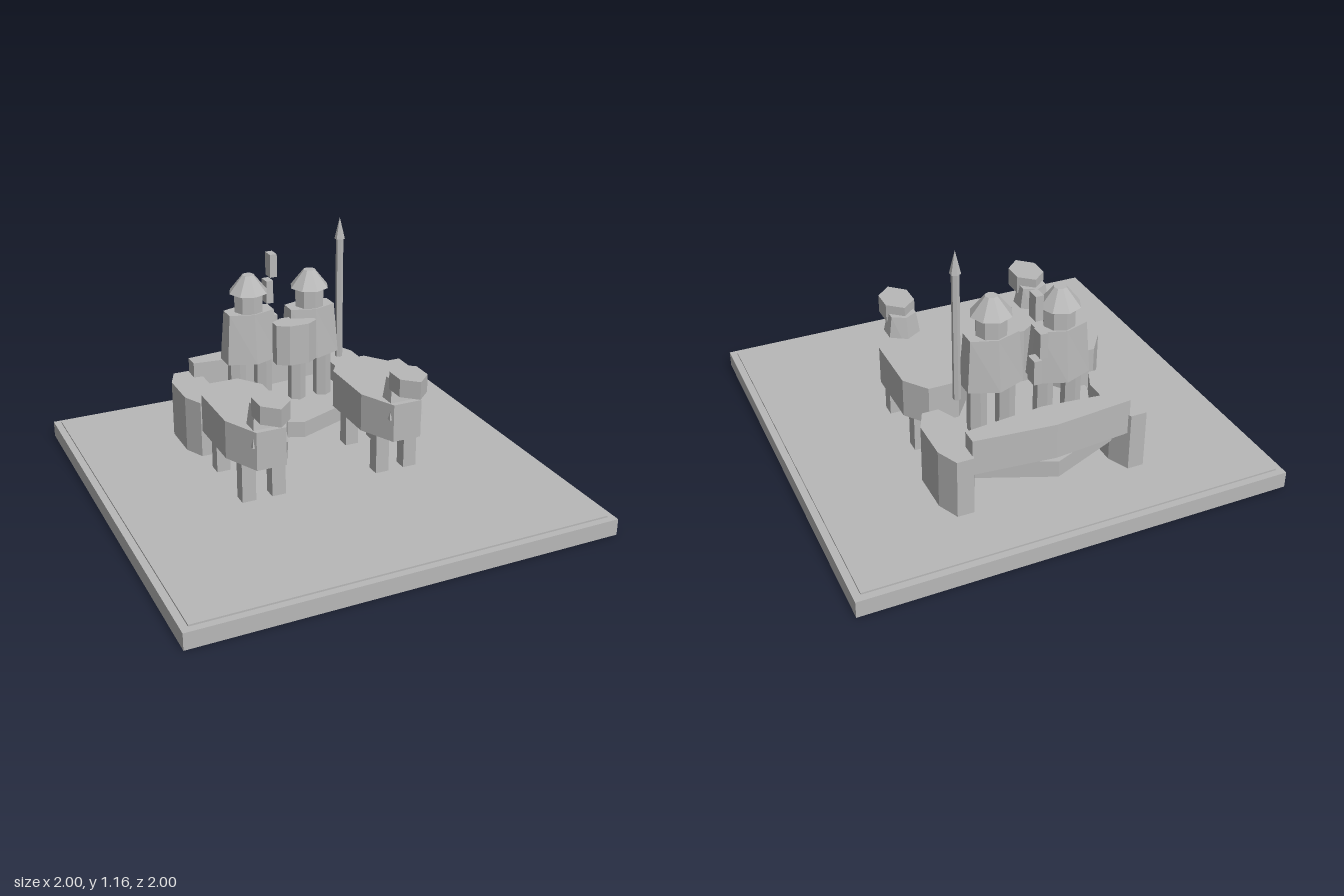
import * as THREE from 'three';

const stone = new THREE.MeshStandardMaterial({ color: 0xb8b8b8, flatShading: true });
stone.name = 'grey stone';

// Outline in (x, z) from its +x half, listed from back to front
function mirrorOutline(half) {
  const other = half.filter(([x]) => x > 0).reverse().map(([x, z]) => [-x, z]);
  return [...half, ...other];
}

// Solid between two matching outlines at heights y0 and y1
function loft(lower, upper, y0, y1) {
  const pos = [];
  const n = lower.length;
  const middle = (pts) => [pts.reduce((s, p) => s + p[0], 0) / n, pts.reduce((s, p) => s + p[1], 0) / n];
  const put = ([x, z], y) => pos.push(x, y, z);
  const cl = middle(lower), cu = middle(upper);
  for (let i = 0; i < n; i++) {
    const j = (i + 1) % n;
    put(lower[i], y0); put(upper[i], y1); put(upper[j], y1);
    put(lower[i], y0); put(upper[j], y1); put(lower[j], y0);
    put(cu, y1); put(upper[j], y1); put(upper[i], y1);
    put(cl, y0); put(lower[i], y0); put(lower[j], y0);
  }
  const geo = new THREE.BufferGeometry();
  geo.setAttribute('position', new THREE.Float32BufferAttribute(pos, 3));
  geo.computeVertexNormals();
  return geo;
}

function prism(half, y0, y1) {
  const outline = mirrorOutline(half);
  return loft(outline, outline, y0, y1);
}

function add(parent, name, geo, x = 0, y = 0, z = 0) {
  const mesh = new THREE.Mesh(geo, stone);
  mesh.name = name;
  mesh.position.set(x, y, z);
  parent.add(mesh);
  return mesh;
}

function addHorse(parent, x) {
  const horse = new THREE.Group();
  horse.name = 'horse';
  horse.position.x = x;
  parent.add(horse);
  add(horse, 'body', prism([[0.07, -0.288], [0.15, -0.18], [0.15, 0.12], [0.07, 0.29]], 0.285, 0.468));
  const neckBase = mirrorOutline([[0, 0.125], [0.085, 0.18], [0.085, 0.28]]);
  const neckTop = mirrorOutline([[0, 0.157], [0.06, 0.19], [0.06, 0.245]]);
  add(horse, 'neck', loft(neckBase, neckTop, 0.39, 0.57));
  add(horse, 'head', prism([[0, 0.175], [0.07, 0.235], [0.07, 0.335], [0, 0.4]], 0.528, 0.613));
  for (const sx of [-1, 1]) for (const z of [0.163, -0.155]) {
    add(horse, 'leg', new THREE.BoxGeometry(0.066, 0.21, 0.063), sx * 0.072, 0.185, z);
  }
}

function addRider(parent, x, z) {
  const rider = new THREE.Group();
  rider.name = 'rider';
  rider.position.set(x, 0, z);
  parent.add(rider);
  for (const sx of [-1, 1]) {
    add(rider, 'leg', new THREE.CylinderGeometry(0.044, 0.044, 0.24, 6), sx * 0.068, 0.385, 0);
  }
  const hem = mirrorOutline([[0, -0.1], [0.13, -0.05], [0.13, 0.05], [0, 0.1]]);
  const shoulders = mirrorOutline([[0, -0.078], [0.113, -0.04], [0.113, 0.04], [0, 0.078]]);
  add(rider, 'robe', loft(hem, shoulders, 0.5, 0.745));
  add(rider, 'head', new THREE.CylinderGeometry(0.072, 0.072, 0.1, 8), 0, 0.79, 0);
  add(rider, 'helmet', new THREE.CylinderGeometry(0.028, 0.095, 0.085, 8), 0, 0.88, 0);
}

export function createModel() {
  const model = new THREE.Group();
  model.name = 'chariot group';

  // Plinth with a thin raised slab
  add(model, 'plinth', new THREE.BoxGeometry(2, 0.078, 2), 0, 0.039, 0);
  add(model, 'slab', new THREE.BoxGeometry(1.934, 0.01, 1.934), 0, 0.081, 0);

  // Chariot floor, rear rail and wheel blocks
  add(model, 'chariotFloor', prism([[0, -0.745], [0.375, -0.59], [0.375, -0.25], [0, -0.1]], 0.19, 0.27));
  add(model, 'rearRail', prism([[0, -0.718], [0.37, -0.683], [0.37, -0.608], [0, -0.57]], 0.27, 0.44));
  const wheel = prism([[0.038, -0.195], [0.082, -0.095], [0.082, 0.1], [0.038, 0.195]], 0.08, 0.365);
  for (const sx of [-1, 1]) {
    add(model, 'wheel', wheel, sx * 0.408, 0, -0.503);
    addHorse(model, sx * 0.334);
  }

  addRider(model, -0.143, -0.432);
  addRider(model, 0.153, -0.385);

  // Shield and spear
  add(model, 'shield', prism([[0.05, -0.06], [0.103, -0.025], [0.103, 0.025], [0.05, 0.06]], 0.503, 0.702), 0.04, 0, -0.308);
  add(model, 'spearShaft', new THREE.CylinderGeometry(0.018, 0.018, 0.61, 6), 0.311, 0.755, -0.38);
  add(model, 'spearTip', new THREE.ConeGeometry(0.025, 0.105, 6), 0.311, 1.108, -0.38);

  // Zigzag of small blocks behind the riders
  [[0.61, -0.535], [0.77, -0.585], [0.92, -0.535]].forEach(([y, z]) =>
    add(model, 'streamerBlock', new THREE.BoxGeometry(0.036, 0.115, 0.06), 0.019, y, z));

  return model;
}
